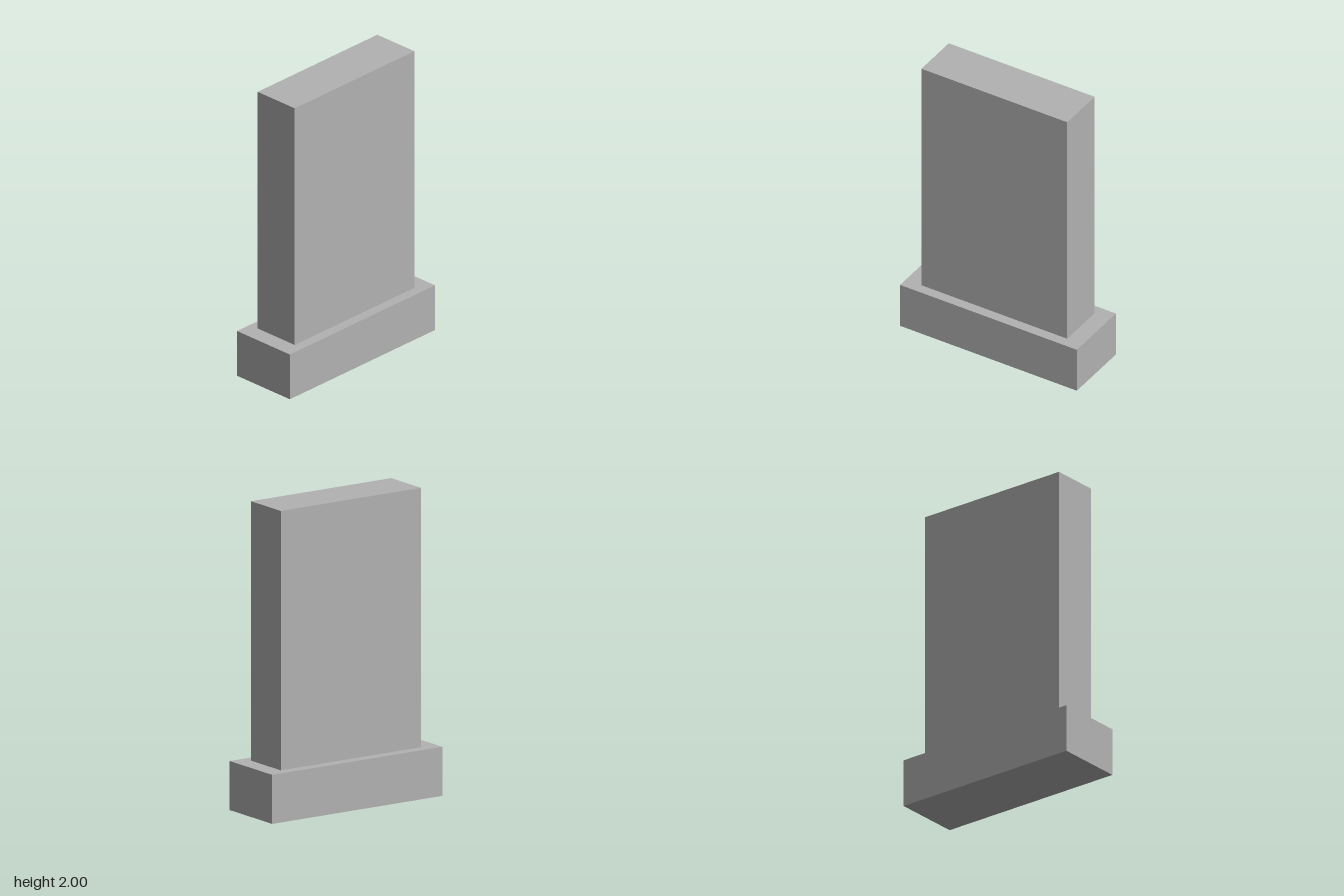
import * as THREE from 'three';

export function createModel() {
  const model = new THREE.Group();
  model.name = 'slabOnPlinth';

  const stone = new THREE.MeshStandardMaterial({ color: 0xb2b2b2 });
  stone.name = 'grey stone';

  // Adds a block resting at the given height
  function addBlock(name, width, height, depth, bottom) {
    const mesh = new THREE.Mesh(new THREE.BoxGeometry(width, height, depth), stone);
    mesh.name = name;
    mesh.position.y = bottom + height / 2;
    model.add(mesh);
  }

  const plinthHeight = 0.318;
  // Wide plinth
  addBlock('plinth', 0.463, plinthHeight, 1.317, 0);
  // Tall upright slab standing on the plinth
  addBlock('slab', 0.325, 2 - plinthHeight, 1.086, plinthHeight);

  return model;
}
